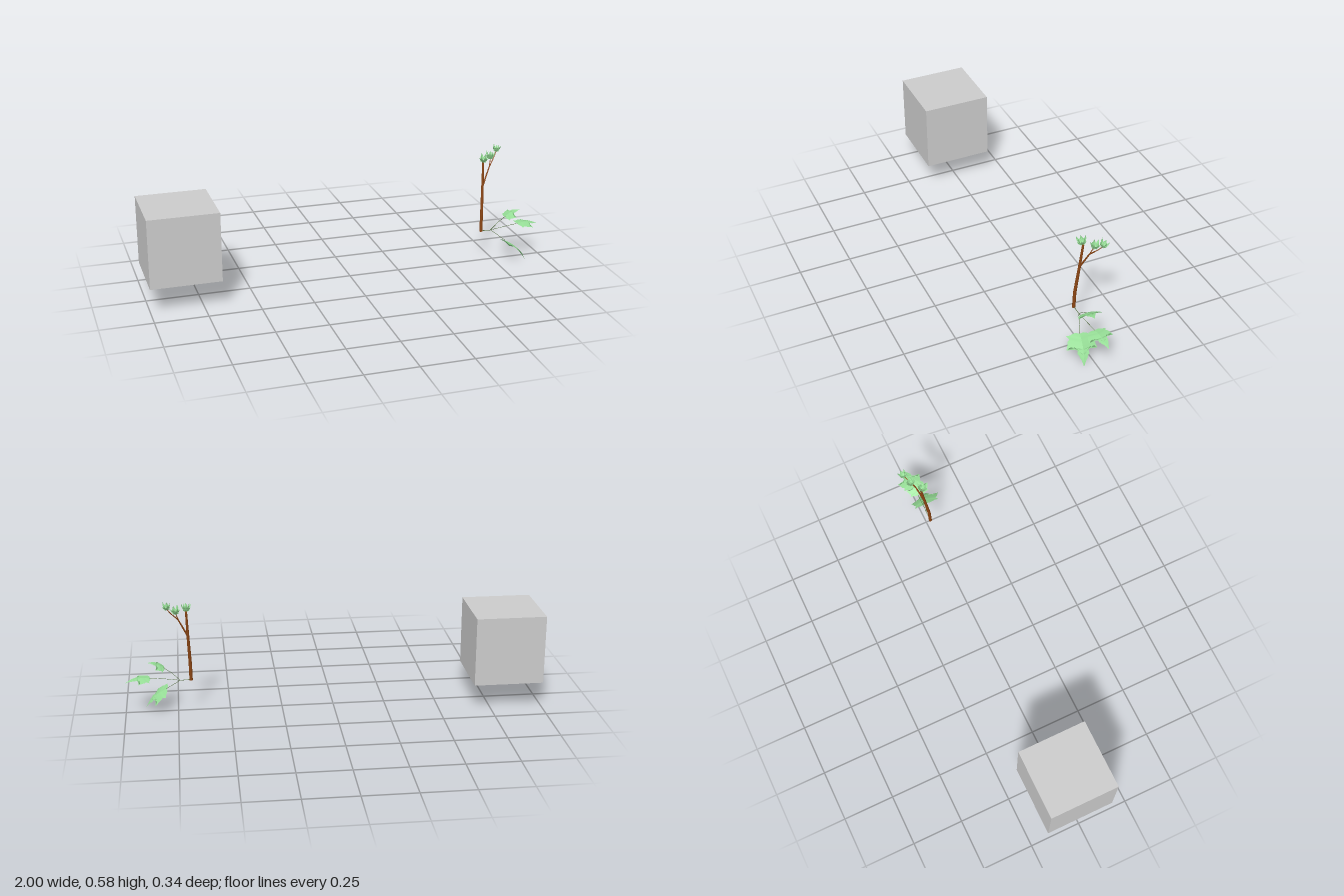
import * as THREE from 'three';

const V = (a) => new THREE.Vector3(...a);
const grey = new THREE.MeshStandardMaterial({ color: 0xcccccc });
const bark = new THREE.MeshStandardMaterial({ color: 0x8b4513 });
const green = new THREE.MeshStandardMaterial({ color: 0x98e098, side: THREE.DoubleSide });
const stalk = new THREE.MeshStandardMaterial({ color: 0x5f7a4a });

// Right half of a lobed, toothed leaf outline: [across, along], base to tip
const OUTLINE = [
  [0, 0], [0.14, -0.03], [0.26, -0.01], [0.34, 0.03], [0.47, 0.04], [0.42, 0.11], [0.4, 0.16],
  [0.46, 0.2], [0.49, 0.3], [0.55, 0.47], [0.46, 0.41], [0.37, 0.38], [0.34, 0.43], [0.28, 0.4],
  [0.19, 0.5], [0.21, 0.62], [0.17, 0.63], [0.15, 0.72], [0.08, 0.82], [0, 1],
];

// Each half is a strip between the midrib and the outline, arched lengthwise and drooping sideways
function leafGeometry(width, length, arch, droop) {
  const pos = [], index = [], n = OUTLINE.length;
  const bend = (u, v) => pos.push(u * width, v * length, arch * 4 * v * (1 - v) - droop * u * u * 4);
  for (const s of [1, -1]) {
    const o = pos.length / 3;
    OUTLINE.forEach(([u, v], i) => {
      bend(0, i / (n - 1));
      bend(u * s, v);
      if (i === n - 1) return;
      const a = o + 2 * i;
      if (s > 0) index.push(a, a + 1, a + 3, a, a + 3, a + 2);
      else index.push(a, a + 3, a + 1, a, a + 2, a + 3);
    });
  }
  const g = new THREE.BufferGeometry();
  g.setAttribute('position', new THREE.Float32BufferAttribute(pos, 3));
  g.setIndex(index);
  g.computeVertexNormals();
  return g;
}

// Leaf from base to tip, its width lying along the across direction
function leaf(name, base, tip, across, width, arch, droop) {
  const y = tip.clone().sub(base), length = y.length();
  y.normalize();
  const x = across.clone().addScaledVector(y, -across.dot(y)).normalize();
  const m = new THREE.Mesh(leafGeometry(width, length, arch, droop), green);
  m.name = name;
  m.applyMatrix4(new THREE.Matrix4().makeBasis(x, y, x.clone().cross(y)).setPosition(base));
  return m;
}

// Chain of tapered cylinders through points given as [x, y, z, radius]
function limb(name, points, material, sides = 8) {
  const g = new THREE.Group();
  g.name = name;
  for (let i = 0; i < points.length - 1; i++) {
    const a = V(points[i].slice(0, 3)), b = V(points[i + 1].slice(0, 3)), d = b.clone().sub(a);
    const m = new THREE.Mesh(
      new THREE.CylinderGeometry(points[i + 1][3], points[i][3], d.length(), sides), material);
    m.position.copy(a).add(b).multiplyScalar(0.5);
    m.quaternion.setFromUnitVectors(new THREE.Vector3(0, 1, 0), d.normalize());
    m.name = name + 'Segment';
    g.add(m);
  }
  return g;
}

// Tuft of young leaves opening around a twig tip
function tuft(base, dir, size, count, turn) {
  const g = new THREE.Group();
  g.name = 'youngLeafTuft';
  for (let i = 0; i < count; i++) {
    const a = turn + (i / count) * Math.PI * 2;
    const out = new THREE.Vector3(Math.cos(a), 0, Math.sin(a));
    const tip = new THREE.Vector3(0, 1, 0).addScaledVector(out, i % 2 ? 0.3 : 0.6).multiplyScalar(size * 0.88);
    const across = new THREE.Vector3(-Math.sin(a), 0, Math.cos(a));
    g.add(leaf('youngLeaf', out.multiplyScalar(0.003), tip, across, size * 0.72, -size * 0.14, -size * 0.12));
  }
  g.position.copy(base);
  g.quaternion.setFromUnitVectors(new THREE.Vector3(0, 1, 0), dir.normalize());
  return g;
}

export function createModel() {
  const model = new THREE.Group();

  // Plain cube
  const cube = new THREE.Mesh(new THREE.BoxGeometry(0.336, 0.336, 0.336), grey);
  cube.name = 'cube';
  cube.position.set(-0.832, 0.297, 0);
  model.add(cube);

  // Woody branch with a forked twig
  model.add(limb('mainBranch', [
    [0.684, 0.155, 0, 0.008], [0.685, 0.24, -0.002, 0.0078], [0.691, 0.39, -0.018, 0.0065],
    [0.695, 0.51, -0.03, 0.005]], bark));
  model.add(limb('sideTwig', [
    [0.691, 0.385, -0.018, 0.0045], [0.733, 0.477, -0.041, 0.0032], [0.765, 0.515, -0.064, 0.0022],
    [0.784, 0.543, -0.078, 0.0015]], bark));
  model.add(limb('shortTwig', [
    [0.733, 0.477, -0.041, 0.0025], [0.744, 0.515, -0.055, 0.0015]], bark));

  // Young foliage at the twig ends
  model.add(tuft(V([0.694, 0.511, -0.025]), V([0, 1, 0.2]), 0.046, 6, 0.4));
  model.add(tuft(V([0.743, 0.512, -0.058]), V([0.1, 1, -0.15]), 0.045, 6, 0));
  model.add(tuft(V([0.782, 0.541, -0.077]), V([0.2, 1, -0.25]), 0.04, 6, 0.9));

  // Leaf stalks branching from one short stem
  const t = 0.0011, fork = [0.735, 0.156, 0, t];
  model.add(limb('sharedStem', [[0.684, 0.158, 0, 0.002], fork], stalk, 5));
  model.add(limb('upperStalk', [fork, [0.775, 0.195, 0.002, t], [0.812, 0.222, 0.003, t]], stalk, 5));
  model.add(limb('middleStalk', [fork, [0.81, 0.167, 0, t], [0.885, 0.175, -0.002, t]], stalk, 5));
  model.add(limb('lowerStalk', [fork, [0.775, 0.127, 0.016, t], [0.805, 0.104, 0.028, t]], stalk, 5));

  // Three full leaves
  const z = V([0, 0, 1]);
  model.add(leaf('upperLeaf', V([0.81, 0.221, 0.003]), V([0.89, 0.25, 0.004]), z, 0.106, 0.009, 0.009));
  model.add(leaf('middleLeaf', V([0.882, 0.175, -0.002]), V([0.998, 0.157, -0.012]),
    V([0.08, 0, 1]), 0.112, 0.01, 0.008));
  model.add(leaf('lowerLeaf', V([0.803, 0.103, 0.028]), V([0.905, 0.001, 0.055]),
    V([0, 0.12, 1]), 0.138, 0.014, 0.01));
  return model;
}
